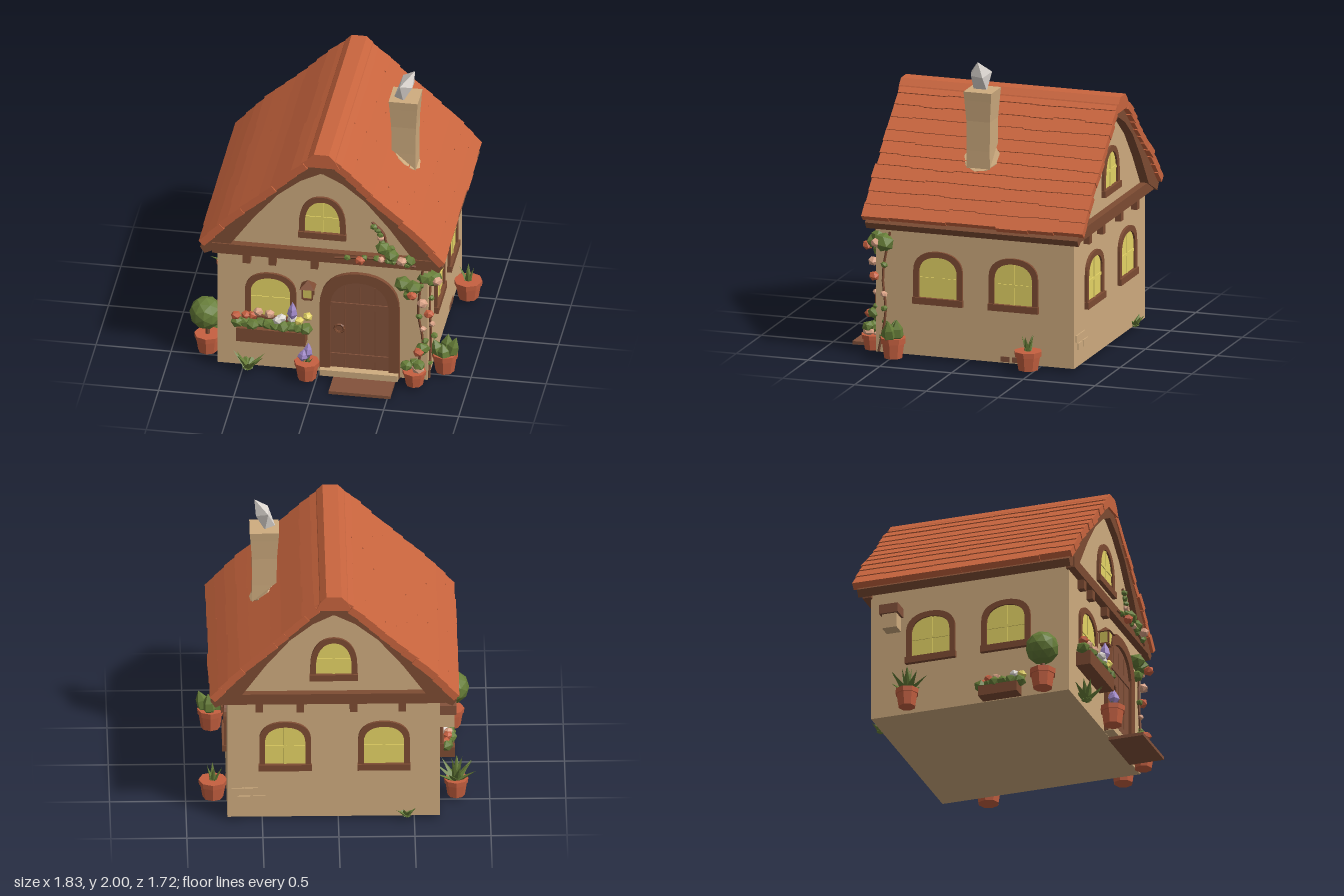
import * as THREE from 'three';
import { mergeGeometries } from 'three/addons/utils/BufferGeometryUtils.js';
import { ConvexGeometry } from 'three/addons/geometries/ConvexGeometry.js';

const colours = {
  plaster: 0xcfac7f, roofTile: 0xc9653e, timber: 0x7e4c33, doorWood: 0x83523b, glass: 0xe6d566,
  leaf: 0x667d38, terracotta: 0xc66040, violet: 0xa088c8, smoke: 0xe2dcd6, petal: 0xdca487,
};

export function createModel() {
  const root = new THREE.Group();
  root.name = 'cottage';
  const mat = {};
  for (const [name, color] of Object.entries(colours)) {
    mat[name] = new THREE.MeshStandardMaterial({ color, flatShading: true });
    mat[name].name = name;
  }
  let seed = 7;
  const rnd = () => ((seed = (seed * 16807) % 2147483647) / 2147483647);
  const jit = (a) => (rnd() - 0.5) * 2 * a;
  const CX = 0.03;

  const add = (parent, name, geo, m, x = 0, y = 0, z = 0) => {
    const mesh = new THREE.Mesh(geo, mat[m]);
    mesh.name = name;
    mesh.position.set(x, y, z);
    parent.add(mesh);
    return mesh;
  };
  const box = (parent, name, m, w, h, d, x, y, z) => add(parent, name, new THREE.BoxGeometry(w, h, d), m, x, y, z);
  const group = (name, x = 0, y = 0, z = 0, ry = 0) => {
    const g = new THREE.Group();
    g.name = name;
    g.position.set(x, y, z);
    g.rotation.y = ry;
    root.add(g);
    return g;
  };
  const extrude = (shape, depth) => new THREE.ExtrudeGeometry(shape, { depth, bevelEnabled: false, curveSegments: 8 });
  const mirrored = (pts) => [...pts.map(([d, y]) => [CX + d, y]), ...pts.slice().reverse().map(([d, y]) => [CX - d, y])];
  const polygon = (pts) => new THREE.Shape(pts.map(([x, y]) => new THREE.Vector2(x, y)));

  // Walls with both gables
  const wallHalf = [[0.7, 0.025], [0.7, 0.95], [0.61, 1.01], [0.45, 1.23], [0.29, 1.42], [0.01, 1.6]];
  add(root, 'walls', extrude(polygon(mirrored(wallHalf)), 1.38), 'plaster', 0, 0, -0.76);

  // Curved timber shell under the tiles
  const under = [[0.78, 0.88], [0.61, 0.965], [0.45, 1.19], [0.29, 1.38], [0.14, 1.5], [0.01, 1.565]];
  const over = [[0.01, 1.66], [0.16, 1.56], [0.34, 1.38], [0.61, 1.13], [0.81, 0.925]];
  const shell = polygon([
    ...under.map(([d, y]) => [CX + d, y]), ...under.slice().reverse().map(([d, y]) => [CX - d, y]),
    ...over.slice().reverse().map(([d, y]) => [CX - d, y]), ...over.map(([d, y]) => [CX + d, y]),
  ]);
  add(root, 'roofTimber', extrude(shell, 1.48), 'timber', 0, 0, -0.82);

  // Overlapping rows of tiles following the roof curve
  const slope = new THREE.SplineCurve([[0.03, 1.685], [0.16, 1.58], [0.34, 1.405], [0.61, 1.16], [0.79, 0.96]]
    .map(([d, y]) => new THREE.Vector2(d, y)));
  const tiles = [];
  const rows = 11;
  for (const s of [1, -1]) {
    for (let i = 0; i < rows; i++) {
      const a = slope.getPointAt(i / rows), b = slope.getPointAt((i + 1) / rows);
      const ang = Math.atan2(b.y - a.y, b.x - a.x) + 0.07;
      const front = 0.675 + jit(0.008), back = -0.853 + jit(0.008), n = 8;
      let z0 = back;
      for (let k = 1; k <= n; k++) {
        const z1 = k === n ? front : back + (front - back) * (k + jit(0.25)) / n;
        const len = a.distanceTo(b) + 0.012 + jit(0.008);
        const g = new THREE.BoxGeometry(len, 0.05, z1 - z0);
        g.translate(len / 2, 0, 0).rotateZ(ang);
        if (s < 0) g.rotateY(Math.PI);
        g.translate(CX + s * a.x, a.y, (z0 + z1) / 2);
        tiles.push(g);
        z0 = z1;
      }
    }
  }
  add(root, 'roofTiles', mergeGeometries(tiles), 'roofTile');
  const cap = polygon(mirrored([[0.12, 1.62], [0.09, 1.68], [0.05, 1.72]]));
  add(root, 'ridgeCap', extrude(cap, 1.53), 'roofTile', 0, 0, -0.855);

  // Gable beams and the small joist ends below them
  for (const [z, xs] of [[0.64, [-0.47, -0.3, -0.02]], [-0.78, [0.52, 0.25, -0.1, -0.42]]]) {
    box(root, 'gableBeam', 'timber', 1.46, 0.075, 0.06, CX, 0.932, z);
    for (const x of xs) box(root, 'joistEnd', 'timber', 0.05, 0.07, 0.045, x, 0.865, z);
  }

  // Arched opening outline standing on y = 0
  const arch = (w, h, rise, Type = THREE.Shape, y0 = 0) => {
    const p = new Type();
    p.moveTo(-w / 2, y0);
    p.lineTo(w / 2, y0);
    p.lineTo(w / 2, h - rise);
    p.bezierCurveTo(w / 2, h - rise * 0.35, w * 0.3, h, 0, h);
    p.bezierCurveTo(-w * 0.3, h, -w / 2, h - rise * 0.35, -w / 2, h - rise);
    return p;
  };
  const addWindow = (x, y, z, ry, w, h, rise) => {
    const g = group('window', x, y, z, ry);
    const frame = arch(w, h, rise);
    frame.holes.push(arch(w - 0.075, h - 0.038, rise * 0.85, THREE.Path, 0.03));
    add(g, 'windowFrame', extrude(frame, 0.018), 'timber');
    add(g, 'windowPane', extrude(arch(w - 0.06, h - 0.03, rise * 0.85, THREE.Shape, 0.02), 0.005), 'glass');
    box(g, 'uprightBar', 'glass', 0.018, h - 0.06, 0.01, 0, h / 2, 0.006);
    box(g, 'crossBar', 'glass', w - 0.08, 0.018, 0.01, 0, h * 0.48, 0.006);
    box(g, 'windowSill', 'timber', w + 0.01, 0.045, 0.035, 0, 0.022, 0.012);
  };
  addWindow(-0.315, 0.38, 0.62, 0, 0.34, 0.37, 0.14);
  addWindow(CX, 1.055, 0.62, 0, 0.31, 0.315, 0.21);
  addWindow(CX, 1.055, -0.76, Math.PI, 0.31, 0.315, 0.21);
  for (const x of [0.35, -0.3]) addWindow(x, 0.38, -0.76, Math.PI, 0.34, 0.36, 0.13);
  for (const z of [0.185, -0.34]) {
    addWindow(0.73, 0.38, z, Math.PI / 2, 0.34, 0.36, 0.13);
    addWindow(-0.67, 0.38, z, -Math.PI / 2, 0.34, 0.36, 0.13);
  }

  // Front door, threshold and step
  const door = group('frontDoor', 0.28, 0.03, 0.62);
  const doorFrame = arch(0.53, 0.78, 0.25);
  doorFrame.holes.push(arch(0.39, 0.71, 0.2, THREE.Path, 0.01));
  add(door, 'doorFrame', extrude(doorFrame, 0.03), 'timber');
  add(door, 'doorLeaf', extrude(arch(0.4, 0.715, 0.2), 0.01), 'doorWood');
  for (const x of [-0.1, 0, 0.1]) box(door, 'plankSeam', 'timber', 0.006, 0.66, 0.004, x, 0.34, 0.01);
  for (const y of [0.13, 0.52]) box(door, 'doorBrace', 'doorWood', 0.39, 0.045, 0.012, 0, y, 0.013);
  add(door, 'doorHandle', new THREE.TorusGeometry(0.03, 0.009, 5, 10), 'timber', -0.135, 0.35, 0.025);
  box(root, 'threshold', 'plaster', 0.52, 0.045, 0.07, 0.28, 0.05, 0.65);
  box(root, 'doorStep', 'doorWood', 0.41, 0.022, 0.24, 0.315, 0.011, 0.74);

  // Chimney with flared top, mortar collar and a wisp of smoke
  const flue = [[0.083, 1.1], [0.08, 1.4], [0.082, 1.6], [0.092, 1.74], [0.097, 1.8], [0, 1.8]]
    .map(([r, y]) => new THREE.Vector2(r * Math.SQRT2, y));
  add(root, 'chimney', new THREE.LatheGeometry(flue, 4).rotateY(Math.PI / 4), 'plaster', 0.475, 0, -0.03);
  add(root, 'chimneyCollar', new THREE.CylinderGeometry(0.12, 0.14, 0.05, 9), 'plaster', 0.47, 1.325, -0.03).rotation.z = -0.73;
  const wisp = [[0.40, 1.79, -0.01], [0.47, 1.79, 0.03], [0.47, 1.79, -0.06], [0.45, 1.91, 0.055], [0.45, 1.92, -0.09],
    [0.53, 1.89, -0.05], [0.53, 1.9, 0.03], [0.54, 2, -0.02]].map((p) => new THREE.Vector3(...p));
  add(root, 'smokeWisp', new ConvexGeometry(wisp), 'smoke');

  // Planting helpers
  const blob = (parent, name, m, r, x, y, z, sy = 0.85) => {
    const b = add(parent, name, new THREE.IcosahedronGeometry(r, 0), m, x, y, z);
    b.scale.y = sy;
    b.rotation.set(jit(0.3), rnd() * 6, jit(0.3));
  };
  const spikes = (parent, n, len, tilt, y, r = 0.03) => {
    for (let i = 0; i < n; i++) {
      const g = new THREE.ConeGeometry(r, len, 4).scale(1, 1, 0.5).translate(0, len / 2, 0);
      g.rotateX(tilt * (0.6 + rnd() * 0.5)).rotateY(i / n * Math.PI * 2 + jit(0.2));
      add(parent, 'leafBlade', g, 'leaf', 0, y, 0);
    }
  };
  const bloom = (parent, x, y, z, h = 0.12) =>
    add(parent, 'violetBloom', new THREE.LatheGeometry([[0, 0], [0.036, h * 0.4], [0.028, h * 0.65], [0, h]]
      .map(([a, b]) => new THREE.Vector2(a, b)), 5), 'violet', x, y, z).rotation.z = jit(0.15);
  const pot = (name, x, z, r, h) => {
    const g = group(name, x, 0.02, z);
    add(g, 'potBody', new THREE.CylinderGeometry(r * 0.94, r * 0.72, h, 8), 'terracotta', 0, h / 2, 0);
    add(g, 'potRim', new THREE.CylinderGeometry(r, r * 0.97, h * 0.28, 8), 'terracotta', 0, h * 0.88, 0);
    return g;
  };

  // Potted plants around the house
  const topiary = pot('topiaryPot', -0.76, 0.47, 0.09, 0.125);
  add(topiary, 'topiaryTrunk', new THREE.CylinderGeometry(0.013, 0.016, 0.14, 5), 'timber', 0, 0.18, 0);
  add(topiary, 'topiaryBall', new THREE.IcosahedronGeometry(0.112, 1), 'leaf', -0.01, 0.285, 0);
  const violets = pot('violetPot', -0.06, 0.71, 0.085, 0.125);
  spikes(violets, 5, 0.08, 0.6, 0.1, 0.02);
  bloom(violets, 0, 0.14, 0, 0.13);
  bloom(violets, -0.03, 0.13, 0.02, 0.1);
  const flowers = pot('flowerPot', 0.65, 0.67, 0.08, 0.1);
  for (let i = 0; i < 6; i++) blob(flowers, 'potFlower', ['leaf', 'leaf', 'petal'][i % 3], 0.045, jit(0.06), 0.13 + jit(0.03), jit(0.05));
  const succulent = pot('succulentPot', 0.82, 0.47, 0.088, 0.135);
  for (const [x, z, tilt, h] of [[0.04, 0.01, -0.3, 0.19], [-0.04, 0.01, 0.3, 0.16], [0, -0.03, -0.1, 0.18], [0.01, 0.04, 0.1, 0.14]]) {
    const fat = new THREE.LatheGeometry([[0, 0], [0.045, h * 0.35], [0.04, h * 0.65], [0, h]].map(([a, b]) => new THREE.Vector2(a, b)), 5);
    add(succulent, 'fatLeaf', fat, 'leaf', x * 0.6, 0.085, z).rotation.z = tilt;
  }
  const sidePot = pot('sidePot', 0.82, -0.47, 0.095, 0.125);
  spikes(sidePot, 4, 0.14, 0.45, 0.1);
  const fernPot = pot('fernPot', -0.78, -0.47, 0.08, 0.12);
  spikes(fernPot, 9, 0.18, 0.95, 0.1, 0.035);
  spikes(fernPot, 5, 0.18, 0.25, 0.1, 0.035);
  spikes(group('groundFern', -0.46, 0.03, 0.67), 9, 0.15, 0.85, 0, 0.035);
  spikes(group('backGrass', -0.45, 0.03, -0.77), 7, 0.09, 0.9, 0, 0.03);

  // Planters: one below the front window, one along the left wall
  const planter = (name, x, y, z, ry, w, h, d, lift) => {
    const g = group(name, x, y, z, ry);
    box(g, 'planterBox', 'timber', w, h, d, 0, h / 2, 0);
    const n = Math.round(w / 0.045);
    for (let i = 0; i < n; i++) {
      const px = (i / (n - 1) - 0.5) * w;
      blob(g, 'planterLeaves', 'leaf', 0.048, px, h + 0.02, jit(0.025));
      blob(g, 'planterFlower', ['terracotta', 'petal', 'smoke', 'glass'][Math.floor(i / n * 4)], 0.035, px + jit(0.02), h + lift + jit(0.025), jit(0.03));
    }
    return g;
  };
  const frontBox = planter('windowPlanter', -0.3, 0.26, 0.67, 0, 0.46, 0.1, 0.1, 0.085);
  bloom(frontBox, 0.14, 0.17, 0.02, 0.15);
  planter('sidePlanter', -0.73, 0.025, 0.16, -Math.PI / 2, 0.27, 0.07, 0.1, 0.06);

  // Lantern by the door
  const lantern = group('lantern', -0.06, 0.6, 0.66);
  box(lantern, 'lanternBase', 'timber', 0.06, 0.015, 0.06, 0, 0.008, 0);
  add(lantern, 'lanternGlass', new THREE.CylinderGeometry(0.05, 0.036, 0.075, 4).rotateY(Math.PI / 4), 'glass', 0, 0.052, 0);
  for (const sx of [-1, 1]) for (const sz of [-1, 1]) box(lantern, 'lanternPost', 'timber', 0.01, 0.08, 0.01, sx * 0.033, 0.052, sz * 0.033);
  add(lantern, 'lanternRoof', new THREE.ConeGeometry(0.07, 0.05, 4).rotateY(Math.PI / 4), 'timber', 0, 0.115, 0);

  // Bird box on the left wall
  box(root, 'birdBox', 'plaster', 0.1, 0.11, 0.1, -0.715, 0.68, -0.6);
  box(root, 'birdBoxRoof', 'doorWood', 0.11, 0.065, 0.13, -0.725, 0.758, -0.6);

  // Climbing vines with leaves and flowers
  const vines = group('vines');
  const stems = [
    [[0.63, 0.05, 0.625], [0.7, 0.3, 0.63], [0.67, 0.55, 0.63], [0.7, 0.88, 0.63]],
    [[0.735, 0.03, 0.6], [0.74, 0.3, 0.55], [0.735, 0.55, 0.57], [0.735, 0.85, 0.52]],
    [[0.12, 0.94, 0.67], [0.35, 0.96, 0.675], [0.5, 0.95, 0.675], [0.66, 0.92, 0.67]],
    [[0.55, 0.95, 0.67], [0.46, 1.05, 0.63], [0.44, 1.13, 0.63], [0.36, 1.21, 0.625]],
  ];
  for (const s of stems) {
    const curve = new THREE.CatmullRomCurve3(s.map((p) => new THREE.Vector3(...p)));
    add(vines, 'vineStem', new THREE.TubeGeometry(curve, 12, 0.009, 5), 'timber');
    for (let i = 1; i < 8; i++) {
      const p = curve.getPoint(i / 8);
      blob(vines, 'vineLeaf', i % 4 ? 'leaf' : 'petal', 0.026, p.x + jit(0.03), p.y, p.z + jit(0.008), 0.8);
    }
  }
  for (const [x, y, z, r] of [[0.57, 0.77, 0.65, 0.06], [0.64, 0.75, 0.66, 0.06], [0.75, 0.78, 0.56, 0.075], [0.71, 0.81, 0.61, 0.055],
    [0.44, 1.03, 0.65, 0.055], [0.5, 0.99, 0.67, 0.05], [0.62, 0.96, 0.66, 0.045], [0.7, 0.28, 0.64, 0.05], [0.61, 0.68, 0.64, 0.045]]) {
    blob(vines, 'leafClump', 'leaf', r, x, y, z);
  }
  for (const [x, y, z] of [[0.64, 0.72, 0.71], [0.74, 0.54, 0.63], [0.29, 0.945, 0.69], [0.68, 0.27, 0.68]]) blob(vines, 'redFlower', 'terracotta', 0.038, x, y, z);
  for (const [x, y, z] of [[0.57, 0.97, 0.7], [0.79, 0.78, 0.6], [0.7, 0.63, 0.65]]) blob(vines, 'paleFlower', 'petal', 0.038, x, y, z);

  // Exposed bricks low on the walls
  for (const [x, y] of [[0.62, 0.16], [0.52, 0.16], [0.57, 0.22], [0.66, 0.22]]) box(root, 'backBrick', 'plaster', 0.085, 0.045, 0.02, x, y, -0.758);
  for (const [z, y] of [[-0.28, 0.05], [-0.36, 0.05]]) box(root, 'sideBrick', 'doorWood', 0.02, 0.035, 0.06, 0.725, y, z);
  return root;
}
